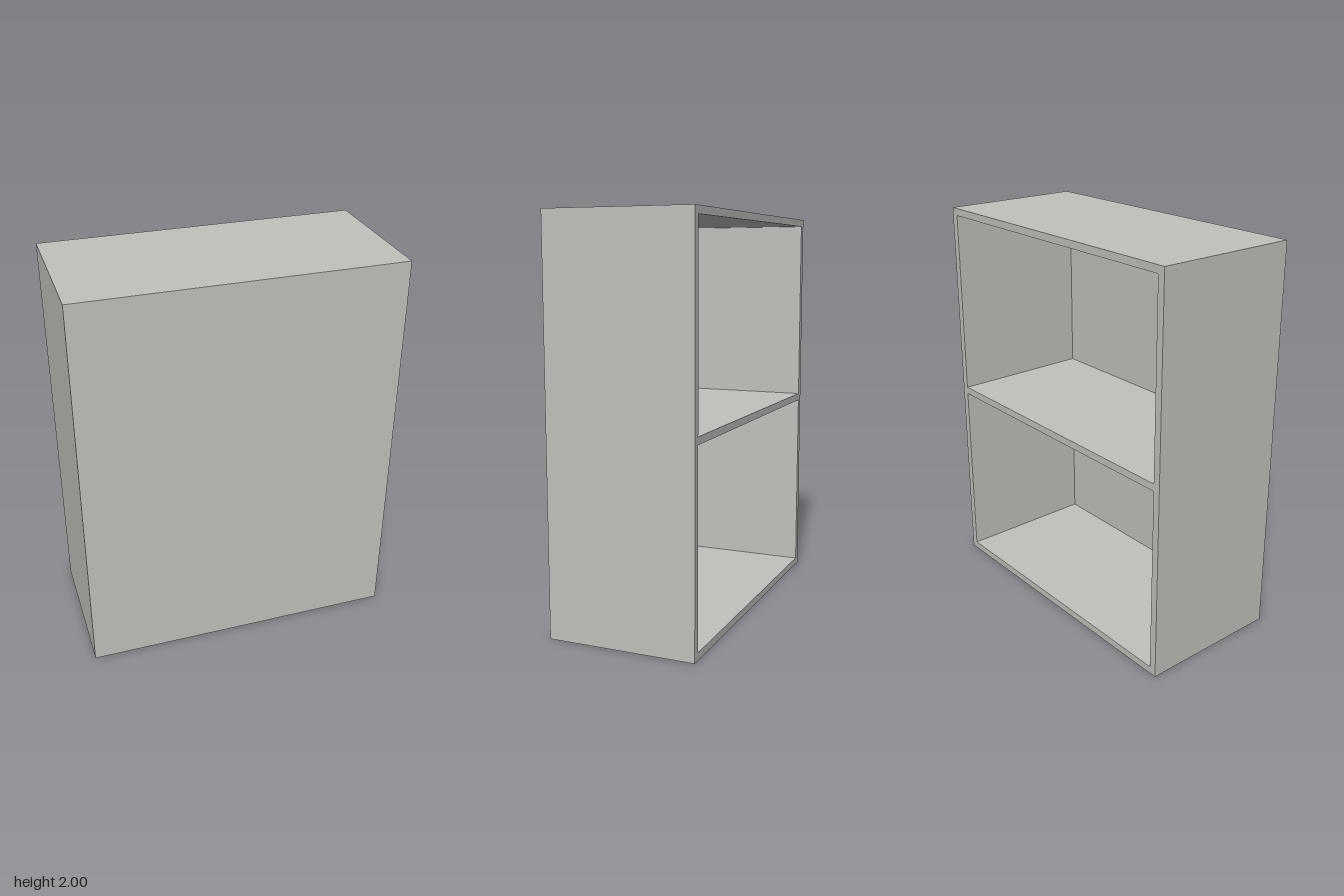
import * as THREE from 'three';

export function createModel() {
  const group = new THREE.Group();
  group.name = 'shelfCabinet';
  const grey = new THREE.MeshStandardMaterial({ color: 0xc0c0bc });
  grey.name = 'warm grey';

  const W = 1.596, H = 2, D = 0.74; // outer size
  const T = 0.037;                  // board thickness
  const P = 0.005;                  // closing panel thickness

  const board = (name, w, h, d, x, y, z) => {
    const mesh = new THREE.Mesh(new THREE.BoxGeometry(w, h, d), grey);
    mesh.name = name;
    mesh.position.set(x, y, z);
    group.add(mesh);
  };

  // thin panel closing the front
  board('frontPanel', W, H, P, 0, H / 2, D / 2 - P / 2);

  // side boards, open towards the back
  const depth = D - P;
  for (const [name, s] of [['leftSide', 1], ['rightSide', -1]]) {
    board(name, T, H, depth, s * (W - T) / 2, H / 2, -P / 2);
  }

  // bottom, middle and top boards between the sides
  ['bottomBoard', 'middleShelf', 'topBoard'].forEach((name, i) => {
    board(name, W - 2 * T, T, depth, 0, T / 2 + i * (H - T) / 2, -P / 2);
  });

  return group;
}
